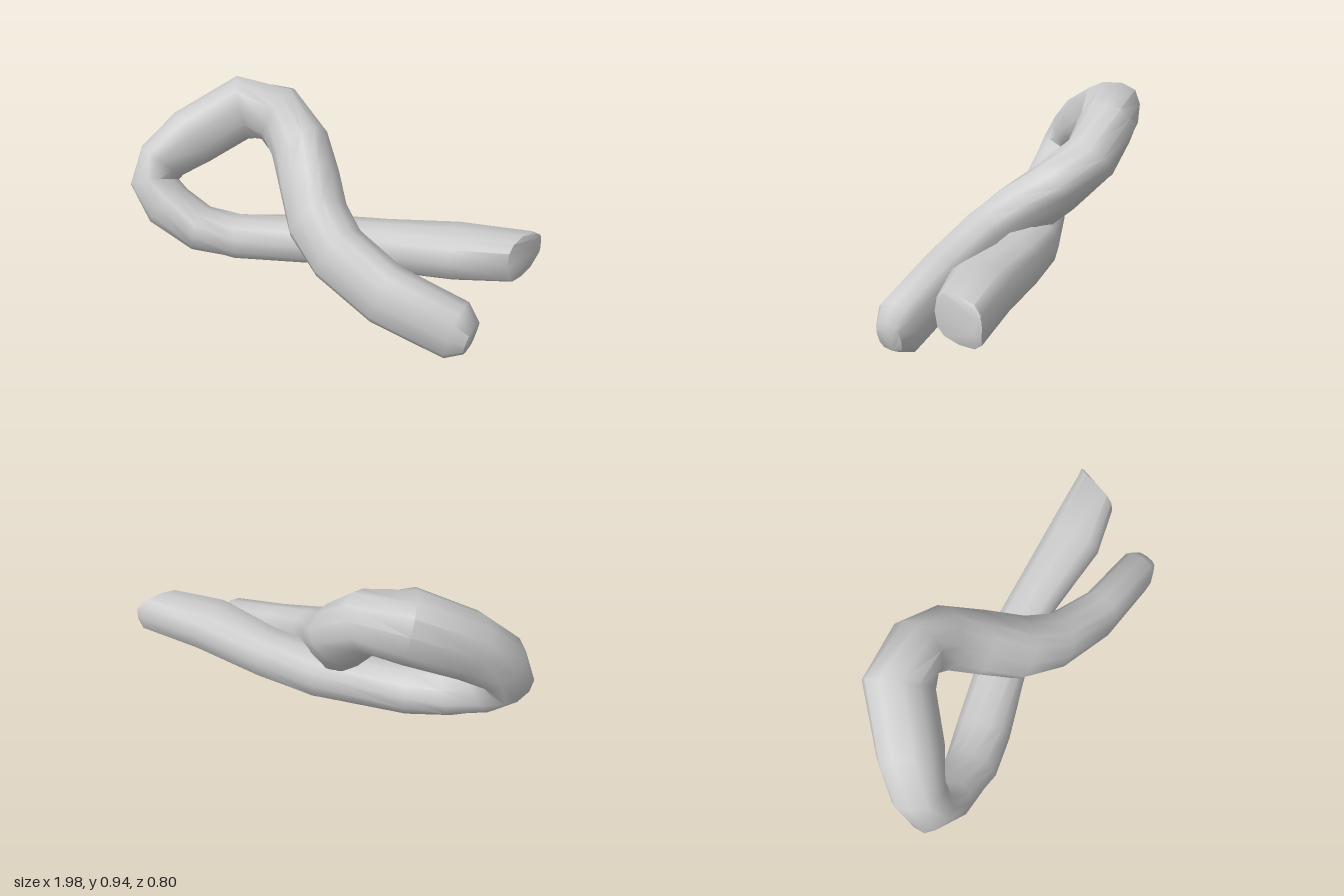
import * as THREE from 'three';
import { toCreasedNormals } from 'three/addons/utils/BufferGeometryUtils.js';

// Stations along the strand: centre x, y, z, then half height and half depth
const STATIONS = [
  [0.82, 0.12, 0.305, 0.075, 0.065],
  [0.75, 0.135, 0.295, 0.135, 0.098],
  [0.41, 0.207, 0.255, 0.142, 0.106],
  [0.14, 0.31, 0.165, 0.146, 0.113],
  [-0.01, 0.4, 0.055, 0.152, 0.12],
  [-0.125, 0.52, -0.1, 0.147, 0.125],
  [-0.235, 0.645, -0.23, 0.15, 0.135],
  [-0.37, 0.77, -0.265, 0.15, 0.14],
  [-0.55, 0.79, -0.23, 0.17, 0.165],
  [-0.745, 0.665, -0.05, 0.16, 0.155],
  [-0.86, 0.56, 0.055, 0.13, 0.142],
  [-0.88, 0.46, 0.11, 0.122, 0.142],
  [-0.785, 0.365, 0.145, 0.122, 0.135],
  [-0.605, 0.275, 0.145, 0.115, 0.135],
  [-0.42, 0.245, 0.095, 0.11, 0.135],
  [0, 0.255, -0.03, 0.11, 0.122],
  [0.3, 0.28, -0.05, 0.113, 0.12],
  [0.64, 0.33, -0.045, 0.115, 0.145],
  [0.935, 0.345, -0.085, 0.104, 0.132],
  [0.985, 0.365, -0.185, 0.05, 0.025],
];
const SIDES = 12;
const LOOP_MIDDLE = 10; // station where the loop turns back
const END_TANGENT = new THREE.Vector3(1, 0.05, 0.32).normalize(); // slanted cut
const DEPTH_AXIS = new THREE.Vector3(0, 0, 1);
const LOOP_AXIS = new THREE.Vector3(0.18, 0.79, 0.59); // square to the tilted loop

// Under 1 squares a circle off, over 1 draws it towards a diamond
const bend = (v, power) => Math.sign(v) * Math.abs(v) ** power;

function strandGeometry() {
  const centres = STATIONS.map(([x, y, z]) => new THREE.Vector3(x, y, z));
  const last = centres.length - 1;
  const positions = [];
  const index = [];

  // Rings across the path: boxy at the ends, ridged and leaning in the loop
  centres.forEach((c, i) => {
    const tangent = new THREE.Vector3();
    if (i >= last - 1) tangent.copy(END_TANGENT);
    else {
      if (i > 0) tangent.add(c.clone().sub(centres[i - 1]).normalize());
      tangent.add(centres[i + 1].clone().sub(c).normalize()).normalize();
    }
    const lean = THREE.MathUtils.clamp(1.5 - Math.abs(i - LOOP_MIDDLE) / 3.5, 0, 1);
    const power = 0.7 + 0.55 * lean;
    const axis = DEPTH_AXIS.clone().lerp(LOOP_AXIS, lean);
    const normal = new THREE.Vector3().crossVectors(axis, tangent).normalize();
    const side = new THREE.Vector3().crossVectors(tangent, normal);
    for (let j = 0; j < SIDES; j++) {
      const a = (j / SIDES) * Math.PI * 2;
      const p = c.clone()
        .addScaledVector(normal, STATIONS[i][3] * bend(Math.cos(a), power))
        .addScaledVector(side, STATIONS[i][4] * bend(Math.sin(a), power));
      positions.push(p.x, Math.max(p.y, 0), p.z);
    }
  });

  // Skin between neighbouring rings
  for (let i = 0; i < last; i++) {
    for (let j = 0; j < SIDES; j++) {
      const a = i * SIDES + j;
      const b = i * SIDES + ((j + 1) % SIDES);
      index.push(a, b, b + SIDES, a, b + SIDES, a + SIDES);
    }
  }

  // Flat end caps
  const end = last * SIDES;
  for (let j = 1; j < SIDES - 1; j++) {
    index.push(0, j + 1, j);
    index.push(end, end + j, end + j + 1);
  }

  const geometry = new THREE.BufferGeometry();
  geometry.setAttribute('position', new THREE.Float32BufferAttribute(positions, 3));
  geometry.setIndex(index);
  return toCreasedNormals(geometry, 1);
}

export function createModel() {
  const group = new THREE.Group();
  group.name = 'loopedStrand';
  const strand = new THREE.Mesh(
    strandGeometry(),
    new THREE.MeshStandardMaterial({ color: 0xcccccc })
  );
  strand.name = 'strand';
  group.add(strand);
  return group;
}
